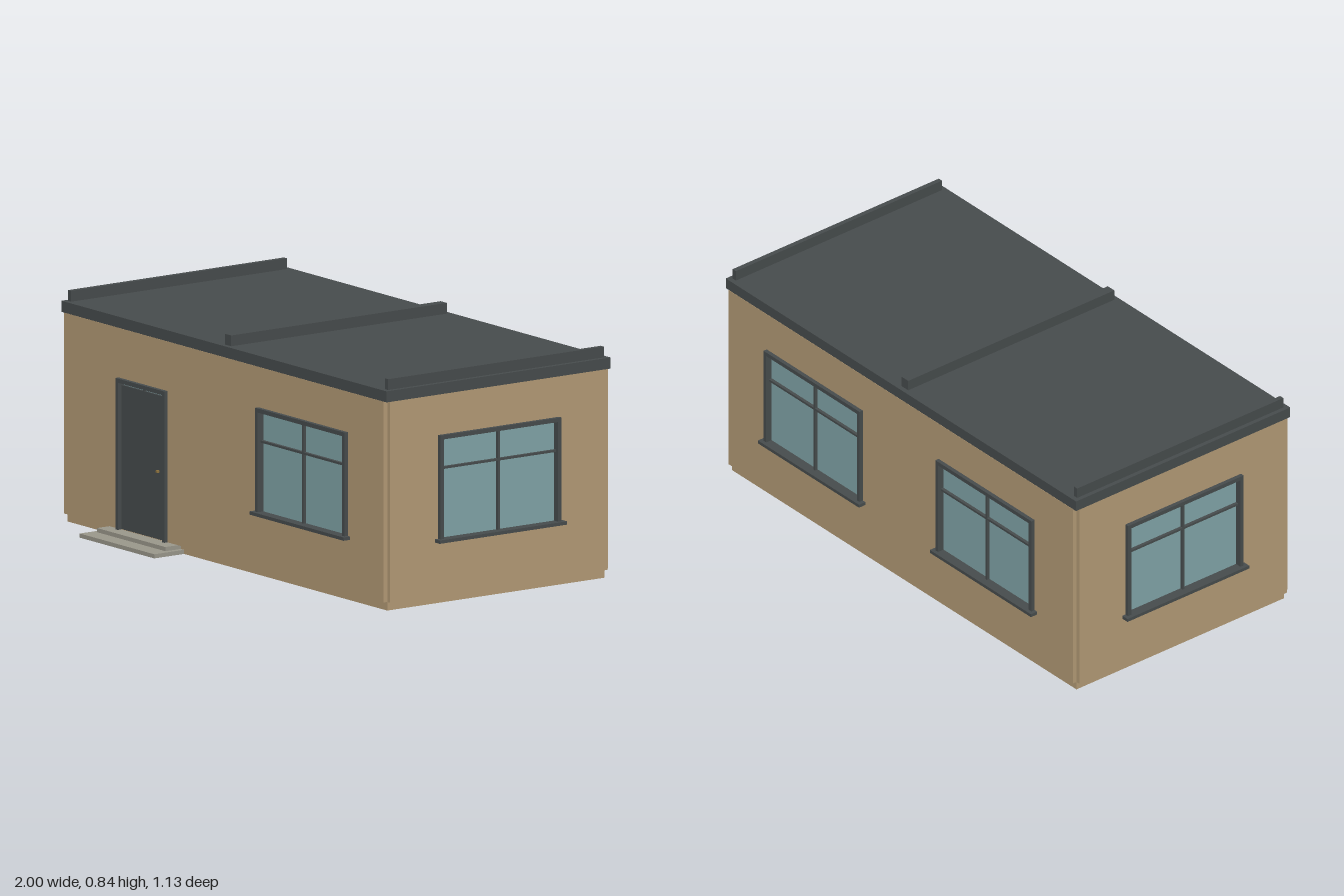
import * as THREE from 'three';

const mat = (name, color) => {
  const m = new THREE.MeshStandardMaterial({ color });
  m.name = name;
  return m;
};

// Main sizes: the core box, with cladding panels of thickness T on each wall
const HX = 0.954, HZ = 0.4775, CZ = -0.0435, T = 0.016;
const BASE = 0.031, EAVE = 0.757, ROOF = 0.797;
const FRAME_OUT = T + 0.015, RIM = 0.015;

export function createModel() {
  const wall = mat('tan wall', 0xb49b76);
  const trim = mat('charcoal trim', 0x474c4d);
  const glass = mat('blue glass', 0x81a5a8);
  const stone = mat('grey stone', 0x9b988c);
  const brass = mat('brass', 0x8f7440);

  const model = new THREE.Group();
  model.name = 'cabin';

  // Box given by its low and high corners
  const box = (parent, name, material, [x0, y0, z0], [x1, y1, z1]) => {
    const mesh = new THREE.Mesh(new THREE.BoxGeometry(x1 - x0, y1 - y0, z1 - z0), material);
    mesh.position.set((x0 + x1) / 2, (y0 + y1) / 2, (z0 + z1) / 2);
    mesh.name = name;
    parent.add(mesh);
    return mesh;
  };

  const group = (parent, name, x = 0) => {
    const g = new THREE.Group();
    g.name = name;
    g.position.x = x;
    parent.add(g);
    return g;
  };

  // Jambs and head shared by windows and the door; z = 0 is the core surface
  const surround = (g, w, y0, y1) => {
    for (const s of [-1, 1]) {
      const a = s * w, b = s * (w - RIM);
      box(g, 'jamb', trim, [Math.min(a, b), y0, 0], [Math.max(a, b), y1, FRAME_OUT]);
    }
    box(g, 'frameHead', trim, [-w + RIM, y1 - RIM, 0], [w - RIM, y1, FRAME_OUT]);
  };

  // Window: recessed glass, frame, mullion, transom and projecting sill
  const W = { w: 0.266, y0: 0.23, y1: 0.611 };
  const addWindow = (parent, x) => {
    const g = group(parent, 'window', x);
    surround(g, W.w, W.y0, W.y1);
    box(g, 'windowGlass', glass, [-W.w + RIM, W.y0, 0], [W.w - RIM, W.y1 - RIM, 0.006]);
    box(g, 'mullion', trim, [-0.004, W.y0, 0.006], [0.004, W.y1 - RIM, 0.018]);
    for (const s of [-1, 1]) {
      const x0 = s < 0 ? -W.w + RIM : 0.004;
      box(g, 'transom', trim, [x0, 0.486, 0.006], [x0 + W.w - RIM - 0.004, 0.494, 0.018]);
    }
    box(g, 'windowSill', trim, [-0.28, 0.224, 0], [0.28, 0.236, FRAME_OUT + 0.014]);
  };

  // Door: recessed leaf with a narrow glass strip above and a small handle
  const D = { w: 0.146, y0: BASE, y1: 0.578 };
  const addDoor = (parent, x) => {
    const g = group(parent, 'door', x);
    const inner = D.w - RIM;
    surround(g, D.w, D.y0, D.y1);
    box(g, 'doorLeaf', trim, [-inner, D.y0, 0], [inner, 0.553, 0.014]);
    box(g, 'doorTopGlass', glass, [-inner, 0.553, 0], [inner, D.y1 - RIM, 0.006]);
    box(g, 'doorTopBar', trim, [-0.004, 0.553, 0.006], [0.004, D.y1 - RIM, 0.014]);
    box(g, 'doorHandle', brass, [0.084, 0.274, 0.014], [0.094, 0.282, 0.024]);
  };

  // Cladding panel with cut-outs, plus its windows and door
  const addWall = (name, half, pos, turn, windows, doors = []) => {
    const g = group(model, name);
    g.position.set(...pos);
    g.rotation.y = turn;
    const rect = (Kind, x0, y0, x1, y1) => {
      const p = new Kind();
      p.moveTo(x0, y0).lineTo(x1, y0).lineTo(x1, y1).lineTo(x0, y1).closePath();
      return p;
    };
    const shape = rect(THREE.Shape, -half, BASE, half, EAVE);
    const cut = 0.004;
    for (const x of windows) {
      shape.holes.push(rect(THREE.Path, x - W.w + cut, W.y0, x + W.w - cut, W.y1 - cut));
      addWindow(g, x);
    }
    for (const x of doors) {
      shape.holes.push(rect(THREE.Path, x - D.w + cut, D.y0 + 0.001, x + D.w - cut, D.y1 - cut));
      addDoor(g, x);
    }
    const geo = new THREE.ExtrudeGeometry(shape, { depth: T, bevelEnabled: false });
    const panel = new THREE.Mesh(geo, wall);
    panel.name = 'claddingPanel';
    g.add(panel);
  };

  box(model, 'core', wall, [-HX, 0, CZ - HZ], [HX, EAVE, CZ + HZ]);
  addWall('frontWall', HX, [0, 0, CZ + HZ], 0, [0.474], [-0.48]);
  addWall('backWall', HX, [0, 0, CZ - HZ], Math.PI, [-0.476, 0.476]);
  addWall('leftWall', HZ, [HX, 0, CZ], Math.PI / 2, [0]);
  addWall('rightWall', HZ, [-HX, 0, CZ], -Math.PI / 2, [0]);

  // Flat roof with three raised ribs
  const RX = HX + T, RZ = HZ + T - 0.001;
  box(model, 'roofSlab', trim, [-RX, EAVE, CZ - RZ], [RX, ROOF, CZ + RZ]);
  for (const [x, w] of [[-0.945, 0.009], [0, 0.018], [0.945, 0.009]]) {
    box(model, 'roofRib', trim, [x - w, ROOF, CZ - 0.474], [x + w, 0.836, CZ + 0.474]);
  }

  // Two entrance steps
  const front = CZ + HZ;
  box(model, 'lowerStep', stone, [-0.703, 0, front], [-0.258, 0.015, 0.565]);
  box(model, 'upperStep', stone, [-0.685, 0.015, front], [-0.277, 0.03, 0.502]);

  return model;
}
